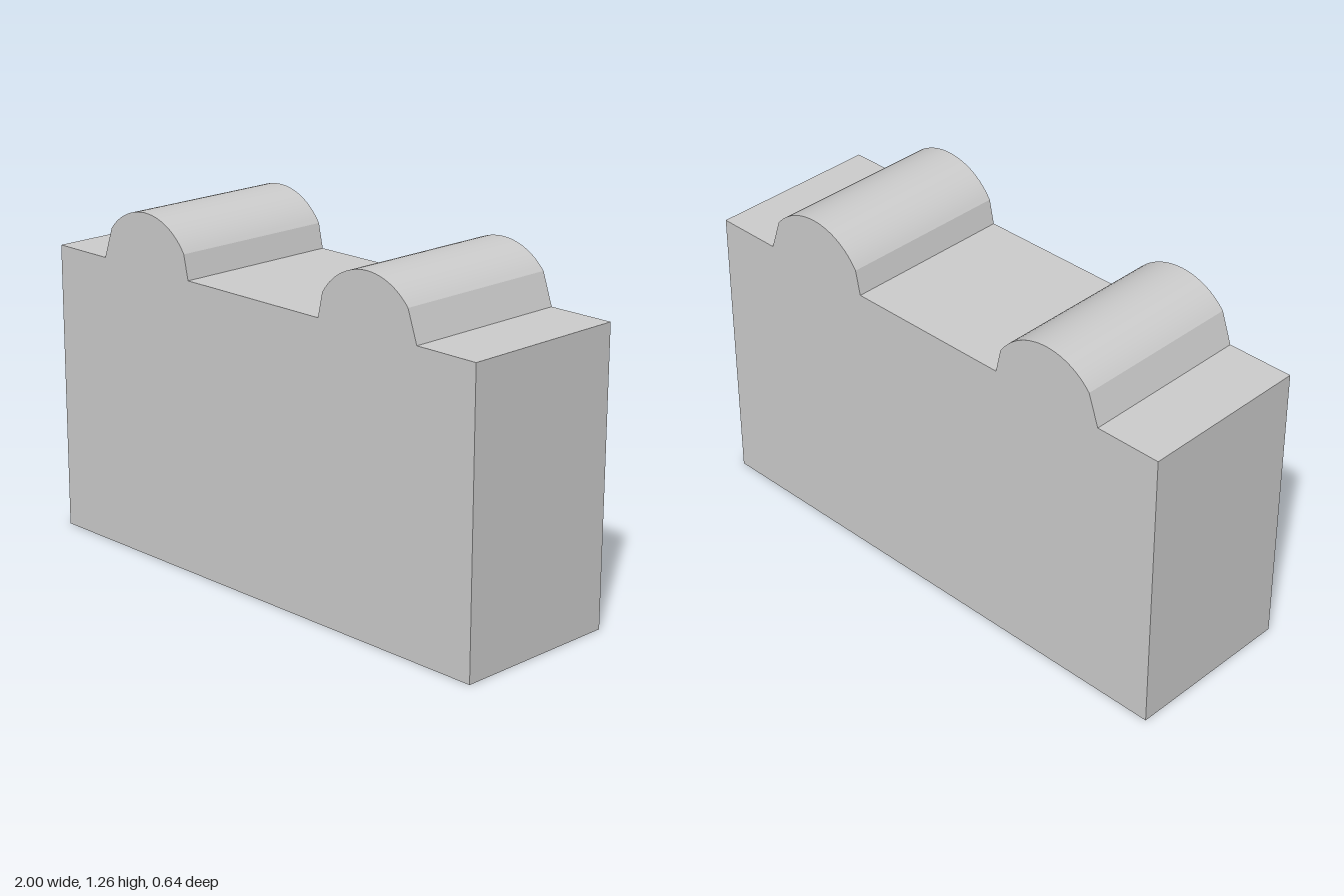
import * as THREE from 'three';
import { toCreasedNormals } from 'three/addons/utils/BufferGeometryUtils.js';

export function createModel() {
  const group = new THREE.Group();
  group.name = 'ridgedBlock';
  const top = 1.062, depth = 0.636;
  const ridgeX = 0.533, ridgeY = 1.025, radius = 0.235;
  const outer = THREE.MathUtils.degToRad(39.7);
  const inner = THREE.MathUtils.degToRad(32.3);

  // Block outline with two mirrored round ridges, counter-clockwise
  const outline = new THREE.Shape();
  outline.moveTo(-1, 0);
  outline.lineTo(1, 0);
  outline.lineTo(1, top);
  outline.lineTo(0.753, top);
  outline.absarc(ridgeX, ridgeY, radius, outer, Math.PI - inner, false);
  outline.lineTo(0.315, top);
  outline.lineTo(-0.315, top);
  outline.absarc(-ridgeX, ridgeY, radius, inner, Math.PI - outer, false);
  outline.lineTo(-0.753, top);
  outline.lineTo(-1, top);
  outline.closePath();

  // Extruded front to back, smooth over the ridges and sharp at the corners
  const geometry = new THREE.ExtrudeGeometry(outline, { depth, bevelEnabled: false, curveSegments: 12 });
  geometry.translate(0, 0, -depth / 2);
  const block = new THREE.Mesh(
    toCreasedNormals(geometry, 0.3),
    new THREE.MeshStandardMaterial({ color: 0xcccccc })
  );
  block.name = 'blockWithRidges';
  group.add(block);
  return group;
}
